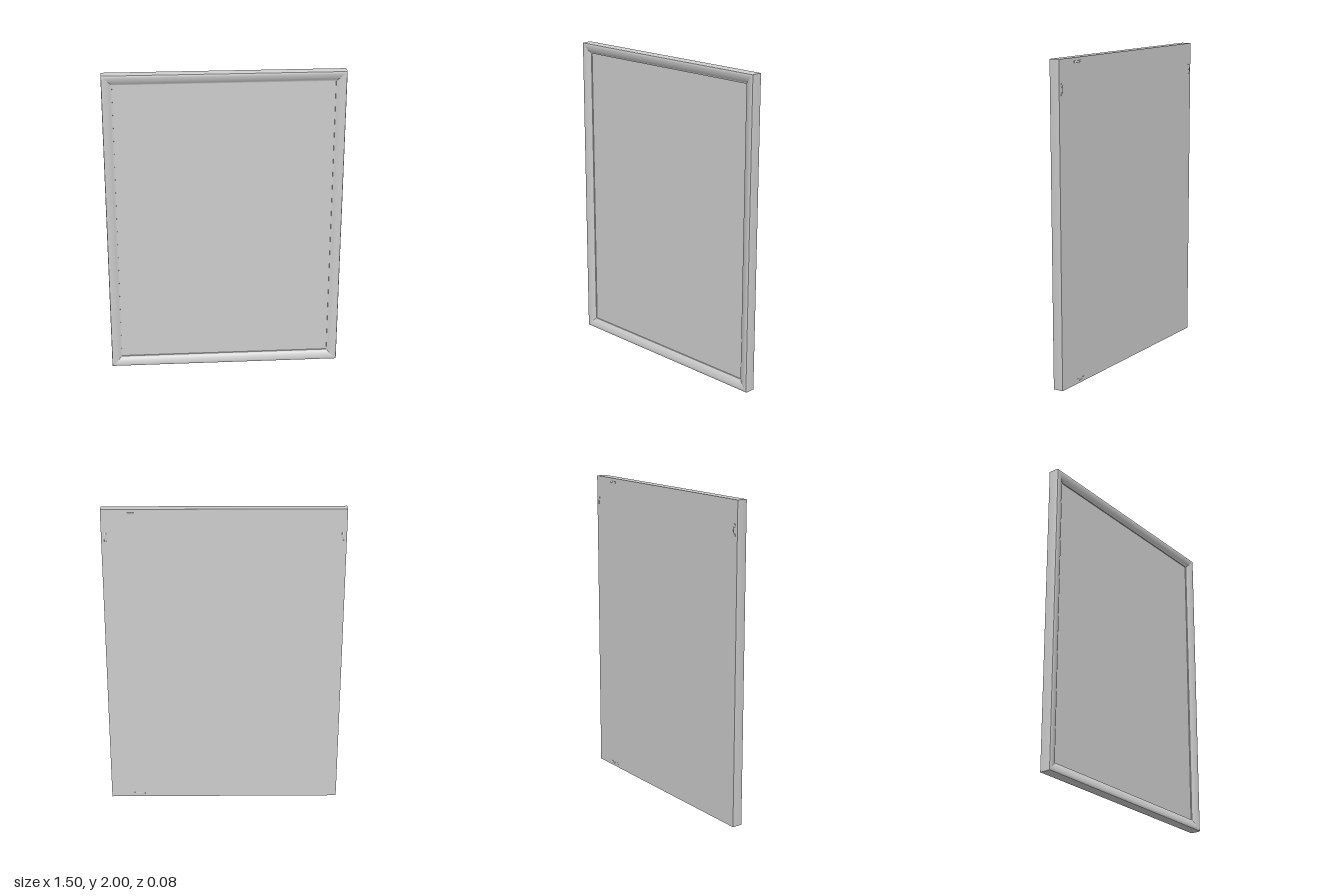
import * as THREE from 'three';
import { toCreasedNormals } from 'three/addons/utils/BufferGeometryUtils.js';

const HALF_W = 0.75, HALF_H = 1, BACK = -0.031;

// Moulding cross-section: [inset from the outer edge, z]
const PROFILE = [
  [0, -0.029], [0, 0.032], [0.002, 0.036], [0.008, 0.038], [0.018, 0.0375], [0.03, 0.035],
  [0.042, 0.031], [0.053, 0.025], [0.06, 0.02], [0.065, 0.019], [0.065, 0.01],
];
const CORNERS = [[-1, -1], [1, -1], [1, 1], [-1, 1]];

// One mitred bar running between two neighbouring corners
function barGeometry(from, to) {
  const positions = [], index = [];
  PROFILE.forEach(([inset, z], i) => {
    for (const [sx, sy] of [from, to]) {
      positions.push(sx * (HALF_W - inset), HALF_H + sy * (HALF_H - inset), z);
    }
    if (i < PROFILE.length - 1) {
      const a = i * 2;
      index.push(a, a + 1, a + 3, a, a + 3, a + 2);
    }
  });
  const geometry = new THREE.BufferGeometry();
  geometry.setAttribute('position', new THREE.Float32BufferAttribute(positions, 3));
  geometry.setIndex(index);
  return toCreasedNormals(geometry, 0.75);
}

function box(name, w, h, d, x, y, z, material) {
  const mesh = new THREE.Mesh(new THREE.BoxGeometry(w, h, d), material);
  mesh.name = name;
  mesh.position.set(x, y, z);
  return mesh;
}

// Low bowed hanger with a foot at each end, long axis along x
function createHanger(material) {
  const hanger = new THREE.Group();
  hanger.name = 'hanger';
  const curve = new THREE.CatmullRomCurve3([
    [-0.034, 0], [-0.022, -0.0035], [-0.01, -0.0055], [0.01, -0.0055], [0.022, -0.0035], [0.034, 0],
  ].map(([x, z]) => new THREE.Vector3(x, 0, z)));
  const bow = new THREE.Mesh(new THREE.TubeGeometry(curve, 20, 0.0015, 8), material);
  bow.name = 'hangerBow';
  bow.scale.y = 4;
  hanger.add(bow);
  for (const side of [-1, 1]) {
    hanger.add(box('hangerFoot', 0.01, 0.014, 0.003, side * 0.031, 0, -0.0015, material));
  }
  return hanger;
}

export function createModel() {
  const grey = new THREE.MeshStandardMaterial({ color: 0xcccccc });
  grey.name = 'light grey';
  const model = new THREE.Group();
  model.name = 'pictureFrame';

  // Moulding
  const moulding = new THREE.Group();
  moulding.name = 'moulding';
  CORNERS.forEach((corner, i) => {
    const bar = new THREE.Mesh(barGeometry(corner, CORNERS[(i + 1) % 4]), grey);
    bar.name = 'mouldingBar';
    moulding.add(bar);
  });
  model.add(moulding);

  // Recessed picture panel and the back board
  model.add(box('picturePanel', 1.372, 1.872, 0.042, 0, 1, -0.009, grey));
  model.add(box('backBoard', 1.5, 2, 0.002, 0, 1, BACK + 0.001, grey));

  // Hangers on the back: [x, y, upright]
  for (const [x, y, upright] of [
    [0.565, 1.975, false], [0.565, 0.025, false], [0.725, 1.825, true], [-0.725, 1.825, true],
  ]) {
    const hanger = createHanger(grey);
    hanger.position.set(x, y, BACK);
    if (upright) hanger.rotation.z = Math.PI / 2;
    model.add(hanger);
  }
  return model;
}
